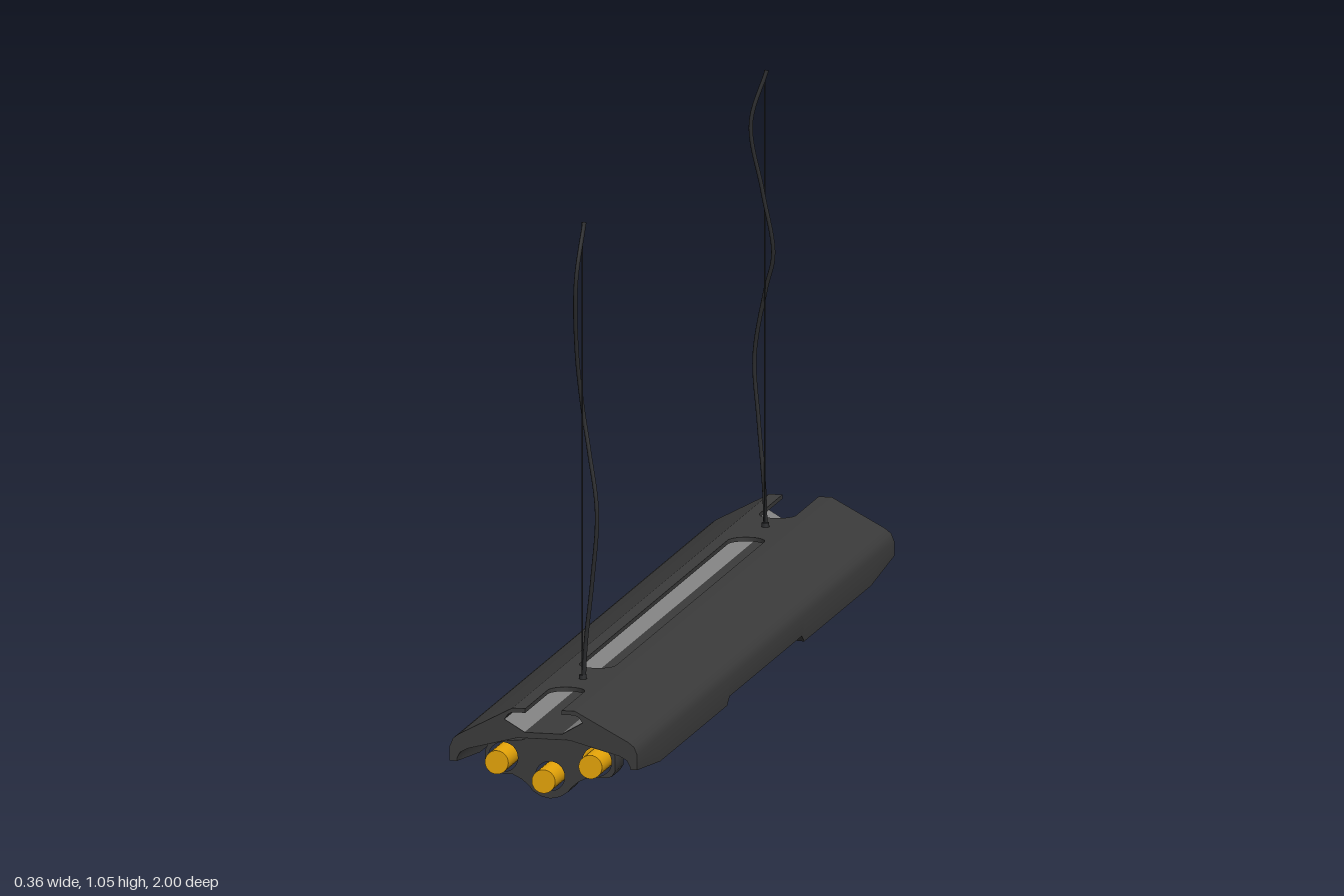
import * as THREE from 'three';
import { toCreasedNormals } from 'three/addons/utils/BufferGeometryUtils.js';

const mat = (name, color, side = THREE.FrontSide) => {
  const m = new THREE.MeshStandardMaterial({ color, side });
  m.name = name;
  return m;
};

export function createModel() {
  const dark = mat('charcoal housing', 0x3b3b3b);
  const black = mat('black wires', 0x2a2b2d);
  const amber = mat('amber tube', 0xe5a408);
  const grey = mat('grey lining', 0x828282, THREE.DoubleSide);

  const group = new THREE.Group();
  const add = (name, geo, material, parent = group) => {
    const mesh = new THREE.Mesh(geo, material);
    mesh.name = name;
    parent.add(mesh);
    return mesh;
  };
  const shapeOf = (pts) => new THREE.Shape(pts.map(([x, y]) => new THREE.Vector2(x, y)));
  const extrude = (shape, depth, steps = 1) => {
    const g = new THREE.ExtrudeGeometry(shape, { depth, steps, bevelEnabled: false, curveSegments: 20 });
    return g.translate(0, 0, -depth / 2);
  };
  // Full-length flat strip between two points of the cross-section
  const strip = (name, [x0, y0], [x1, y1], material) => {
    const geo = new THREE.PlaneGeometry(Math.hypot(x1 - x0, y1 - y0), 1.998).rotateX(-Math.PI / 2);
    geo.rotateZ(Math.atan2(y1 - y0, x1 - x0)).translate((x0 + x1) / 2, (y0 + y1) / 2, 0);
    return add(name, geo, material);
  };

  // Housing sides: sloped shoulder, short skirt, angled channel wall
  const sideProfile = [
    [0.06, 0.18], [0.162, 0.126], [0.174, 0.117], [0.18, 0.102], [0.18, 0.054], [0.166, 0.054],
    [0.166, 0.08], [0.16, 0.091], [0.145, 0.099], [0.05, 0.124], [0.036, 0.124],
    [0.036, 0.135], [0.075, 0.158], [0.068, 0.168], [0.06, 0.172],
  ];
  // Skirt edge rises in the middle and towards both ends
  const skirtY = (z) => {
    const a = Math.abs(z);
    if (a < 0.29) return 0.068;
    return 0.054 + 0.02 * THREE.MathUtils.clamp((a - 0.82) / 0.18, 0, 1);
  };
  for (const s of [-1, 1]) {
    const geo = extrude(shapeOf(sideProfile.map(([x, y]) => [x * s, y])), 2, 100);
    const p = geo.attributes.position;
    for (let i = 0; i < p.count; i++) {
      if (p.getY(i) < 0.06) p.setY(i, skirtY(p.getZ(i)));
    }
    add(s > 0 ? 'housingLeft' : 'housingRight', toCreasedNormals(geo, 0.75), dark);

    // Light linings of the channel wall and of the sloped underside
    const [inner, outer] = s > 0 ? [0, 1] : [1, 0];
    const wall = [[s * 0.0358, 0.1357], [s * 0.0745, 0.1585]];
    const under = [[s * 0.05, 0.1232], [s * 0.144, 0.0984]];
    strip('channelLining', wall[inner], wall[outer], grey);
    strip('reflectorSlope', under[inner], under[outer], grey);
  }

  // Channel floor with the flat reflector beneath it
  add('channelFloor', new THREE.BoxGeometry(0.072, 0.011, 2).translate(0, 0.1295, 0), dark);
  strip('reflectorCentre', [-0.05, 0.1232], [0.05, 0.1232], grey);

  // Top plate with a long rounded slot and an open slot at each end
  const r = 0.035;
  const top = new THREE.Shape();
  top.moveTo(-0.06, -1);
  top.lineTo(-r, -1);
  top.lineTo(-r, -0.825);
  top.absarc(0, -0.825, r, Math.PI, 0, true);
  top.lineTo(r, -1);
  top.lineTo(0.06, -1);
  top.lineTo(0.06, 1);
  top.lineTo(r, 1);
  top.lineTo(r, 0.825);
  top.absarc(0, 0.825, r, 0, -Math.PI, true);
  top.lineTo(-r, 1);
  top.lineTo(-0.06, 1);
  const slot = new THREE.Path();
  slot.absarc(0, 0.575, r, 0, Math.PI, false);
  slot.absarc(0, -0.575, r, Math.PI, Math.PI * 2, false);
  top.holes.push(slot);
  add('topPlate', extrude(top, 0.008).rotateX(-Math.PI / 2).translate(0, 0.176, 0), dark);

  // Three light tubes
  const tubes = [[-0.09, 0.075], [0, 0.043], [0.09, 0.075]];
  for (const [x, y] of tubes) {
    add('lightTube', new THREE.CylinderGeometry(0.0225, 0.0225, 2, 28).rotateX(Math.PI / 2).translate(x, y, 0), amber);
  }

  // Tube brackets
  const half = [
    [0.028, 0.124], [0.038, 0.115], [0.055, 0.109], [0.106, 0.104], [0.119, 0.098], [0.125, 0.087], [0.125, 0.058],
    [0.118, 0.047], [0.105, 0.044], [0.072, 0.043], [0.054, 0.034], [0.041, 0.023],
    [0.034, 0.014], [0.019, 0.004],
  ];
  const bracket = shapeOf([...half, [0, 0], ...half.map(([x, y]) => [-x, y]).reverse()]);
  for (const [x, y] of tubes) {
    bracket.holes.push(new THREE.Path().absarc(x, y, 0.028, 0, Math.PI * 2, true));
  }
  for (const z of [-0.915, 0.915]) {
    add('tubeBracket', toCreasedNormals(extrude(bracket, 0.066), 0.75).translate(0, 0, z), dark);
  }

  // Hanging wires: one straight cable and one loose cord at each end
  const cords = {
    front: [[0.005, 0.16, 0.71], [0.01, 0.25, 0.711], [0.024, 0.37, 0.717], [0.033, 0.5, 0.718],
      [0.015, 0.61, 0.704], [0.0, 0.69, 0.694], [-0.008, 0.8, 0.708], [-0.003, 0.94, 0.735], [0.007, 1.05, 0.71]],
    back: [[0.004, 0.16, -0.713], [0.0, 0.25, -0.717], [-0.013, 0.38, -0.726], [-0.022, 0.5, -0.731],
      [0.002, 0.63, -0.72], [0.019, 0.7, -0.711], [0.001, 0.82, -0.701], [-0.02, 0.95, -0.694], [0.007, 1.05, -0.71]],
  };
  for (const [end, pts] of Object.entries(cords)) {
    const hanger = new THREE.Group();
    hanger.name = end + 'Hanger';
    group.add(hanger);
    const z = end === 'front' ? 0.71 : -0.71;
    const path = new THREE.CatmullRomCurve3(pts.map((p) => new THREE.Vector3(...p)));
    add('powerCord', new THREE.TubeGeometry(path, 64, 0.004, 8), black, hanger);
    add('steelCable', new THREE.CylinderGeometry(0.0015, 0.0015, 0.895, 8).translate(0.003, 0.6025, z), black, hanger);
    add('grommet', new THREE.CylinderGeometry(0.007, 0.008, 0.012, 12).translate(0.004, 0.182, z), black, hanger);
  }
  return group;
}
